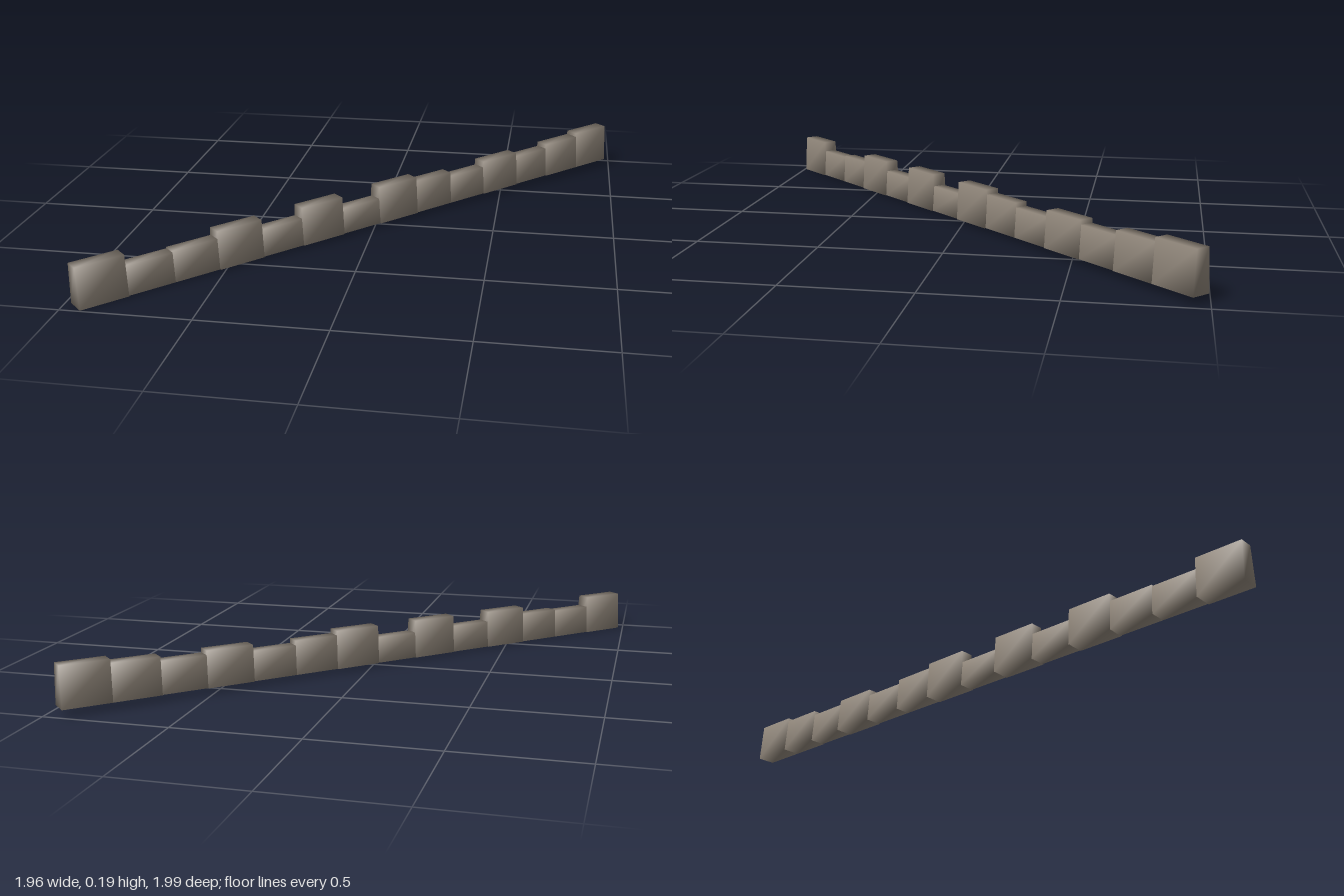
import * as THREE from 'three';
import { mergeVertices } from 'three/addons/utils/BufferGeometryUtils.js';

// One stone: a box that narrows towards the top, with normals smoothed over its corners
function stoneGeometry(length, height, bottom, top) {
  const box = new THREE.BoxGeometry(length, height, 1);
  box.translate(0, height / 2, 0);
  box.deleteAttribute('normal');
  box.deleteAttribute('uv');
  const geometry = mergeVertices(box);
  const p = geometry.attributes.position;
  for (let i = 0; i < p.count; i++) {
    p.setZ(i, p.getZ(i) * (p.getY(i) > height / 2 ? top : bottom));
  }
  geometry.computeVertexNormals();
  return geometry;
}

export function createModel() {
  const stone = new THREE.MeshStandardMaterial({ color: 0x90867a });
  stone.name = 'stone';

  // Stone heights from the low end to the high end
  const heights = [0.165, 0.12, 0.126, 0.157, 0.113, 0.16, 0.108, 0.16, 0.141, 0.122, 0.149, 0.131, 0.15, 0.166];
  const halfX = 0.95, halfZ = 0.967, rise = 0.029;
  const total = 2 * Math.hypot(halfX, halfZ);
  const pitch = total / heights.length;

  // Straight row of stones, turned to run diagonally and to climb gently
  const wall = new THREE.Group();
  wall.name = 'wall';
  heights.forEach((height, i) => {
    const tall = height > 0.144;
    const inner = i > 0 && i < heights.length - 1;
    const geometry = stoneGeometry(
      pitch * (inner && tall ? 1.02 : 1), height, tall ? 0.08 : 0.07, tall ? 0.058 : 0.052);
    const mesh = new THREE.Mesh(geometry, stone);
    mesh.name = `stone${i + 1}`;
    mesh.position.x = (i + 0.5) * pitch - total / 2;
    wall.add(mesh);
  });
  wall.rotation.order = 'YZX';
  wall.rotation.set(0, Math.atan2(halfZ, halfX), Math.atan2(rise, total));
  wall.position.y = rise / 2 + 0.002;

  const model = new THREE.Group();
  model.name = 'stoneWall';
  model.add(wall);
  return model;
}
